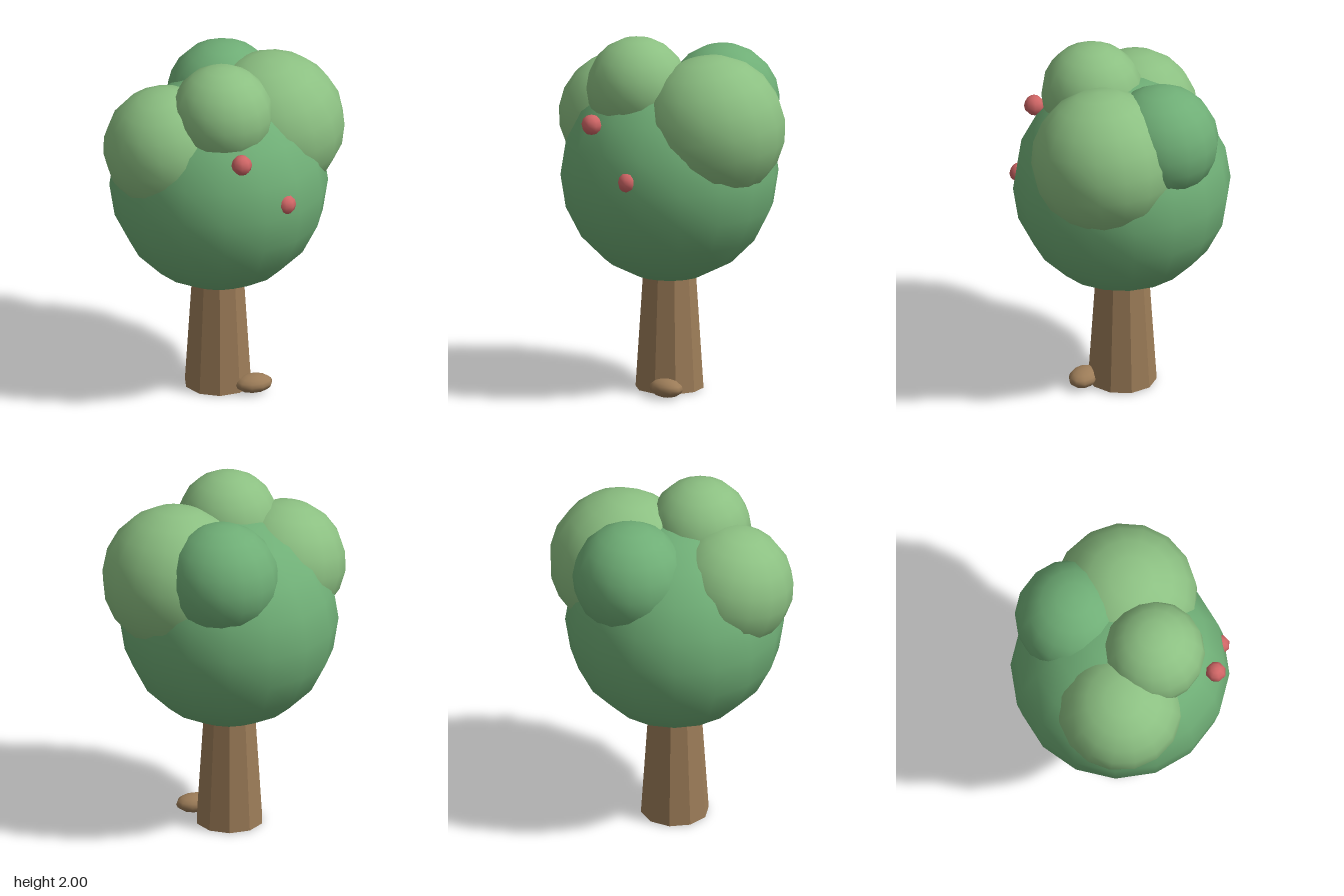
import * as THREE from 'three';

const mat = (color, flatShading = false) => new THREE.MeshStandardMaterial({ color, flatShading });

export function createModel() {
  const tree = new THREE.Group();
  tree.name = 'tree';

  const bark = mat(0x9c7c58, true);
  const barkSmooth = mat(0x9c7c58);
  const darkLeaf = mat(0x6fae76);
  const lightLeaf = mat(0x8cc082);
  const berryRed = mat(0xd06666);

  function add(name, geometry, material, position, rotation = [0, 0, 0]) {
    const mesh = new THREE.Mesh(geometry, material);
    mesh.name = name;
    mesh.position.set(...position);
    mesh.rotation.set(...rotation);
    tree.add(mesh);
    return mesh;
  }
  const ball = (r, w = 16, h = 10) => new THREE.SphereGeometry(r, w, h);

  // Tapered ten-sided trunk, running up into the crown
  add('trunk', new THREE.CylinderGeometry(0.13, 0.188, 0.89, 10), bark, [-0.033, 0.455, 0.008]);

  // Flattened root lump at the foot
  const root = add('root', ball(1, 10, 8), barkSmooth, [0.155, 0.055, 0.13], [0, 0.26, 0]);
  root.scale.set(0.107, 0.05, 0.078);

  // Main crown
  add('crown', ball(0.6), darkLeaf, [-0.03, 1.22, 0.01]);

  // Smaller leaf clumps, slightly tilted: name, radius, material, position, rotation
  const clumps = [
    ['leafClumpRight', 0.343, lightLeaf, [-0.33, 1.5, 0.15], [0.1, 0.3, 0.15]],
    ['leafClumpLeft', 0.4, lightLeaf, [0.27, 1.52, -0.1], [0.12, 0.2, 0.05]],
    ['leafClumpTop', 0.28, lightLeaf, [-0.025, 1.72, 0.213], [0, 0, 0]],
    ['leafClumpBack', 0.313, darkLeaf, [0.01, 1.6, -0.3], [0.05, 0, 0]],
  ];
  for (const [name, r, material, position, rotation] of clumps) add(name, ball(r), material, position, rotation);

  // Berries on the front of the crown
  for (const position of [[0.065, 1.565, 0.545], [0.312, 1.28, 0.452]]) {
    add('berry', ball(0.057, 8, 6), berryRed, position);
  }

  return tree;
}
